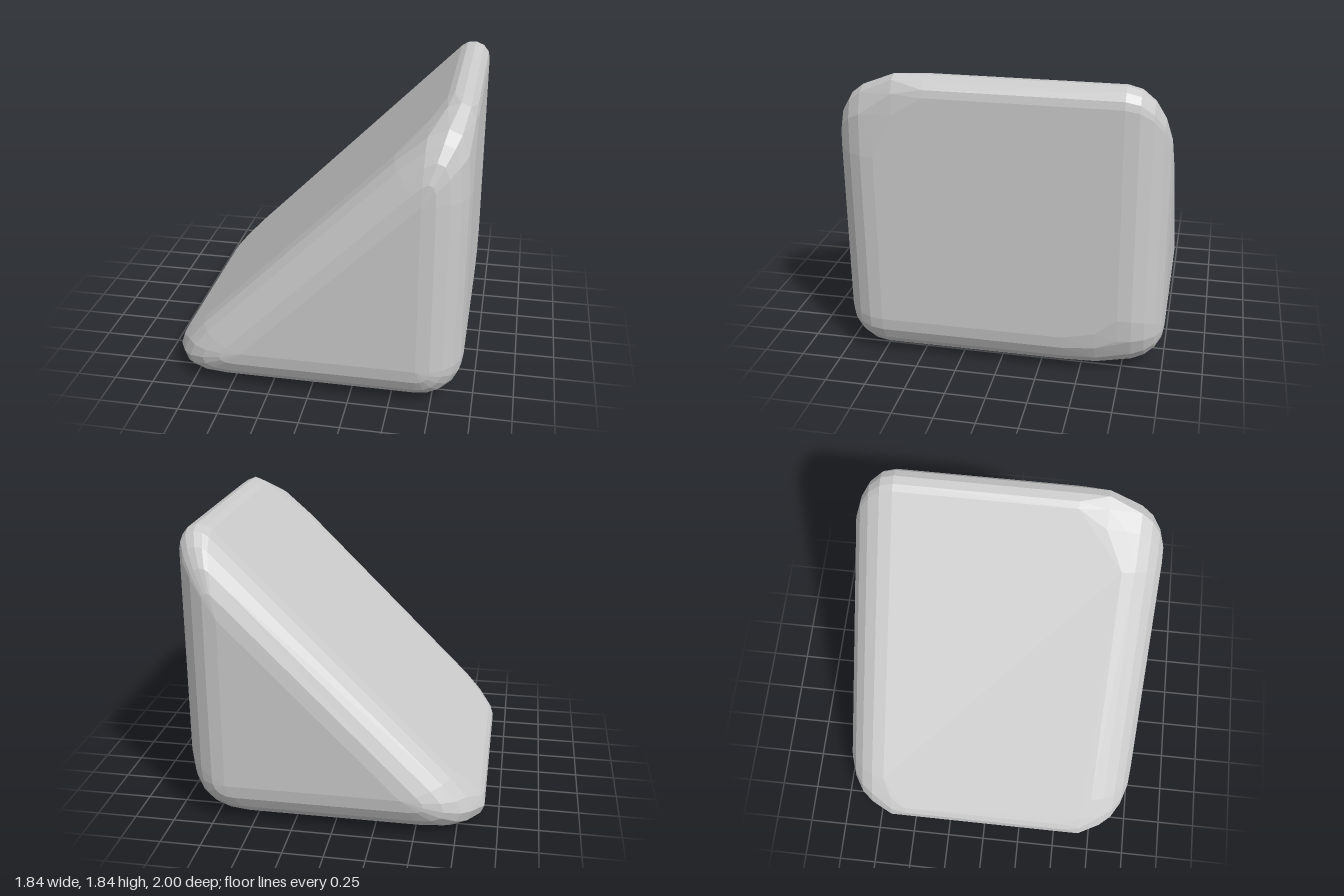
import * as THREE from 'three';
import { ConvexGeometry } from 'three/addons/geometries/ConvexGeometry.js';

const R = 0.27; // bevel width
const STEPS = 5; // facets per bevel

// Triangle corners: position, shift per unit of side inset, directions to the two neighbours
const S = Math.SQRT1_2, K = 1 + Math.SQRT2;
const corners = {
  heel: { p: [0.93, 0], shift: [-1, 1], a: [-1, 0], b: [0, 1], w: S },
  peak: { p: [0.93, 2], shift: [-1, -K], a: [0, -1], b: [-S, -S], w: 0.383 },
  toe: { p: [-1.07, 0], shift: [K, 1], a: [S, S], b: [1, 0], w: 0.383 },
};

// Conic arc that rounds a corner, starting "trim" away from it on both sides
function roundCorner(points, c, inset, trim, weight, z) {
  const x = c.p[0] + c.shift[0] * inset, y = c.p[1] + c.shift[1] * inset;
  if (trim < 1e-4) {
    points.push(new THREE.Vector3(x, y, z));
    return;
  }
  for (let i = 0; i <= STEPS; i++) {
    const t = i / STEPS, u = (1 - t) ** 2, m = 2 * t * (1 - t) * weight, v = t * t;
    const ka = trim * u / (u + m + v), kb = trim * v / (u + m + v);
    points.push(new THREE.Vector3(x + c.a[0] * ka + c.b[0] * kb, y + c.a[1] * ka + c.b[1] * kb, z));
  }
}

// One end of a long edge: constant bevel up to zStart, then it closes onto the end face
function cornerEnd(points, c, side, { zStart = 0.73, trim = R, weight = c.w }) {
  roundCorner(points, c, 0, R, c.w, side * zStart);
  if (trim > R) {
    const k = 0.6;
    roundCorner(points, c, 0, R + (trim - R) * 0.3, c.w + (weight - c.w) * k,
      side * (zStart + (0.73 - zStart) * k));
  }
  for (let i = 0; i <= STEPS; i++) {
    const f = (i / STEPS) * Math.PI / 2;
    roundCorner(points, c, R * (1 - Math.cos(f)), trim * Math.cos(f), weight, side * (0.73 + R * Math.sin(f)));
  }
}

export function createModel() {
  const group = new THREE.Group();
  group.name = 'roundedWedge';
  const points = [];
  const toe = { zStart: 0.58, trim: 0.5, weight: 1.0 };

  // Front end
  cornerEnd(points, corners.heel, 1, {});
  cornerEnd(points, corners.peak, 1, { zStart: 0.42, trim: 0.65, weight: 1.35 });
  cornerEnd(points, corners.toe, 1, toe);
  // Back end
  cornerEnd(points, corners.heel, -1, { zStart: 0.4, trim: 0.42, weight: 1.0 });
  cornerEnd(points, corners.peak, -1, {});
  cornerEnd(points, corners.toe, -1, toe);

  const wedge = new THREE.Mesh(
    new ConvexGeometry(points),
    new THREE.MeshStandardMaterial({ color: 0xcccccc, flatShading: true }),
  );
  wedge.name = 'wedgeBody';
  group.add(wedge);
  return group;
}
